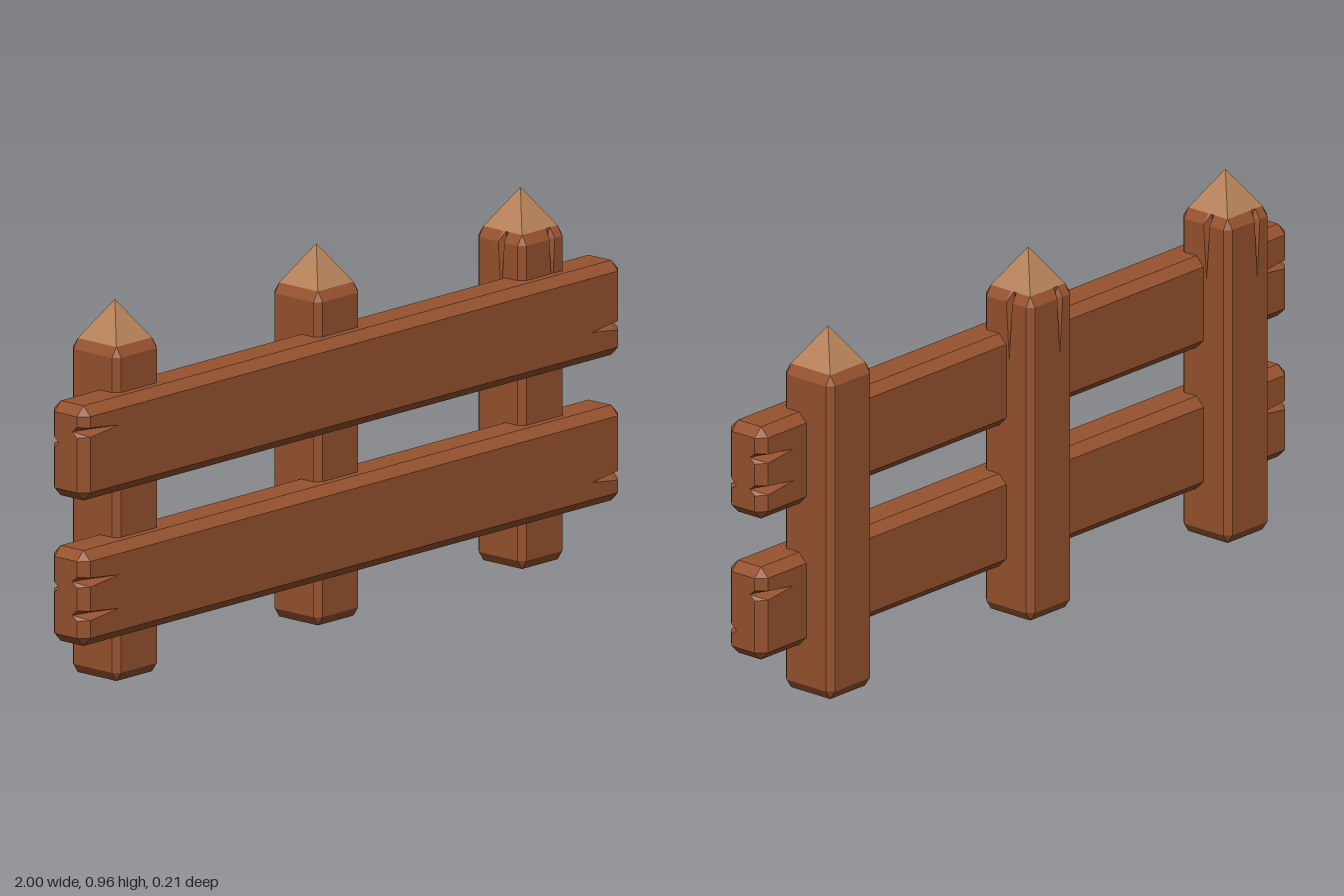
import * as THREE from 'three';

// Bevelled cross-section, counter-clockwise in (u, v). Sides run +u, +v, -u, -v;
// a crack is a V cut into one side, opened by the factor for its end of the beam.
function section({ hu, hv, c, open }, full, cracks) {
  const pts = [];
  for (let k = 0; k < 4; k++) {
    const odd = k % 2;
    const h = odd ? hv : hu, w = odd ? hu : hv, outer = odd ? full[1] : full[0];
    const add = (o, a) => pts.push(new THREE.Vector2(
      ...[[o, a], [-a, o], [-o, -a], [a, -o]][k]));
    add(h, c - w);
    cracks.filter(n => n.side === k).sort((a, b) => a.at - b.at).forEach(n => {
      const s = open[n.end];
      add(h, n.at - n.half * s);
      add(Math.min(h, outer - n.depth * s), n.at);
      add(h, n.at + n.half * s);
    });
    add(h, w - c);
  }
  return pts;
}

// Flat-shaded loft through the stations; the starting cap is group 1, the rest group 0.
function loft(stations, full, cracks, place) {
  const flat = stations.map(s => section(s, full, cracks));
  const rings = flat.map((r, i) => r.map(p => place(p.x, p.y, stations[i].t)));
  const pos = [];
  const tri = (...vs) => vs.forEach(v => pos.push(...v));
  const last = rings.length - 1, n = rings[0].length;
  for (const [a, b, c] of THREE.ShapeUtils.triangulateShape(flat[0], []))
    tri(rings[0][c], rings[0][b], rings[0][a]);
  const capCount = pos.length / 3;
  for (let i = 0; i < last; i++) {
    for (let j = 0; j < n; j++) {
      const k = (j + 1) % n;
      tri(rings[i][j], rings[i][k], rings[i + 1][k]);
      tri(rings[i][j], rings[i + 1][k], rings[i + 1][j]);
    }
  }
  for (const [a, b, c] of THREE.ShapeUtils.triangulateShape(flat[last], []))
    tri(rings[last][a], rings[last][b], rings[last][c]);
  const geo = new THREE.BufferGeometry();
  geo.setAttribute('position', new THREE.Float32BufferAttribute(pos, 3));
  geo.computeVertexNormals();
  geo.addGroup(0, capCount, 1);
  geo.addGroup(capCount, pos.length / 3 - capCount, 0);
  return geo;
}

// Horizontal board with bevelled, split ends
function railGeometry(hy, cracks) {
  const hz = 0.0625, b = 0.024;
  const station = (t, inset, left, right) => ({
    t, hu: hy - inset, hv: hz - inset, c: inset ? 0.0005 : b, open: [left, right],
  });
  const list = cracks.map(([front, end, y]) => ({
    side: front ? 1 : 3, end, at: front ? -y : y, half: 0.014, depth: 0.04,
  }));
  return loft([
    station(-1, b, 1, 0), station(-1 + b, 0, 0.85, 0), station(-0.87, 0, 0, 0),
    station(0.88, 0, 0, 0), station(1 - b, 0, 0, 0.85), station(1, b, 0, 1),
  ], [hy, hz], list, (u, v, t) => [t, u, v]);
}

// Upright with bevelled edges, split below the point on two sides
function postGeometry() {
  const h = 0.082, inner = 0.066;
  const station = (t, half, c, s) => ({ t, hu: half, hv: half, c, open: [s] });
  const cracks = [
    { side: 1, end: 0, at: 0.028, half: 0.01, depth: 0.02 },
    { side: 0, end: 0, at: 0.01, half: 0.01, depth: 0.02 },
  ];
  return loft([
    station(0, inner, 0.0005, 0), station(0.024, h, 0.016, 0), station(0.69, h, 0.016, 0),
    station(0.84, h, 0.016, 1), station(0.865, inner, 0.0005, 1),
  ], [h, h], cracks, (u, v, t) => [u, t, -v]);
}

export function createModel() {
  const wood = new THREE.MeshStandardMaterial({ color: 0x96522e });
  wood.name = 'brown wood';
  const cutWood = new THREE.MeshStandardMaterial({ color: 0xb8835a });
  cutWood.name = 'pale cut wood';

  const fence = new THREE.Group();
  fence.name = 'fence';

  // Posts with pale pointed tips
  const postGeo = postGeometry();
  const tipGeo = new THREE.ConeGeometry(0.066 * Math.SQRT2, 0.1, 4).toNonIndexed();
  tipGeo.rotateY(Math.PI / 4);
  tipGeo.computeVertexNormals();
  [['rightPost', -0.75, 0], ['middlePost', -0.005, 0], ['leftPost', 0.75, Math.PI]]
    .forEach(([name, x, turn]) => {
      const post = new THREE.Group();
      post.name = name;
      const body = new THREE.Mesh(postGeo, [wood, cutWood]);
      body.name = 'postBody';
      const tip = new THREE.Mesh(tipGeo, cutWood);
      tip.name = 'postTip';
      tip.position.y = 0.915;
      post.add(body, tip);
      post.position.set(x, 0, -0.02);
      post.rotation.y = turn;
      fence.add(post);
    });

  // Rails; each crack is [on front, end (0 = -x, 1 = +x), height from rail centre]
  const rails = [
    ['upperRail', 0.6275, 0.1225, [[1, 0, 0.057], [0, 0, 0.02], [1, 1, -0.042], [0, 1, 0.043], [0, 1, -0.042]]],
    ['lowerRail', 0.2515, 0.1235, [[1, 0, 0.045], [1, 0, -0.042], [0, 0, 0.02], [1, 1, -0.055], [0, 1, 0.053]]],
  ];
  for (const [name, y, hy, cracks] of rails) {
    const rail = new THREE.Mesh(railGeometry(hy, cracks), [wood, wood]);
    rail.name = name;
    rail.position.set(0, y, 0.0425);
    fence.add(rail);
  }
  return fence;
}
